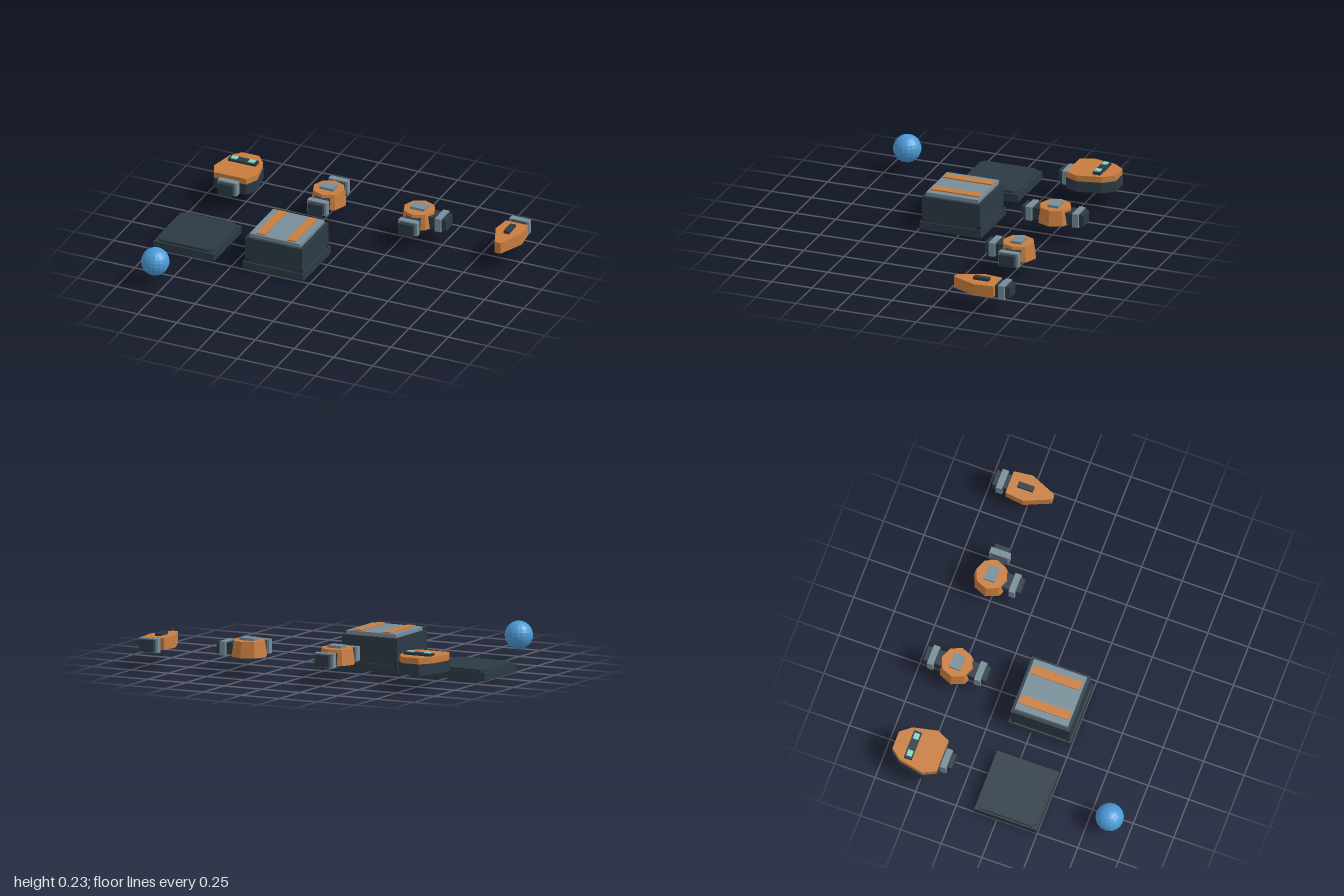
import * as THREE from 'three';

const mat = (name, color) => {
  const m = new THREE.MeshStandardMaterial({ color, flatShading: true });
  m.name = name;
  return m;
};

export function createModel() {
  const orange = mat('orange shell', 0xc87d3e);
  const dark = mat('dark slate', 0x2c3a45);
  const grey = mat('blue grey', 0x778d98);
  const blue = mat('ball blue', 0x4a9ad6);
  const teal = mat('eye teal', 0x7fd6c6);
  const black = mat('pin black', 0x1b242c);
  const model = new THREE.Group();

  const group = (name, x, z) => {
    const g = new THREE.Group();
    g.name = name;
    g.position.set(x, 0, z);
    model.add(g);
    return g;
  };
  const add = (parent, name, geo, material, x = 0, y = 0, z = 0) => {
    const m = new THREE.Mesh(geo, material);
    m.name = name;
    m.position.set(x, y, z);
    parent.add(m);
    return m;
  };
  // box given by its footprint centre and its bottom and top heights
  const box = (parent, name, material, w, d, y0, y1, x = 0, z = 0) =>
    add(parent, name, new THREE.BoxGeometry(w, y1 - y0, d), material, x, (y0 + y1) / 2, z);
  // upright prism from half an outline [x, z], mirrored across x
  const prism = (parent, name, material, half, y0, y1) => {
    const pts = [...half, ...half.map(([x, z]) => [-x, z]).reverse()];
    const shape = new THREE.Shape(pts.map(([x, z]) => new THREE.Vector2(x, -z)));
    const geo = new THREE.ExtrudeGeometry(shape, { depth: y1 - y0, bevelEnabled: false });
    geo.rotateX(-Math.PI / 2);
    return add(parent, name, geo, material, 0, y0, 0);
  };
  // plug with collar, pointing along +z and then turned about the part centre
  const connector = (parent, angle) => {
    const c = new THREE.Group();
    c.name = 'connector';
    c.rotation.y = angle;
    parent.add(c);
    box(c, 'plug', dark, 0.092, 0.132, 0.107, 0.177, 0, 0.126);
    box(c, 'collar', grey, 0.122, 0.038, 0.1, 0.184, 0, 0.145);
  };

  // ball
  const ball = group('ball', -0.81, 0.627);
  add(ball, 'sphere', new THREE.SphereGeometry(0.083, 16, 12), blue, 0, 0.149, 0);

  // flat pad with clipped corners on its upper layer
  const pad = group('pad', -0.808, 0.053);
  box(pad, 'padBase', dark, 0.384, 0.384, 0, 0.05);
  const e = 0.182, c = 0.155;
  prism(pad, 'padTop', dark, [[c, -e], [e, -c], [e, c], [c, e]], 0.05, 0.065);

  // charging box
  const crate = group('crate', -0.236, 0.053);
  box(crate, 'crateBase', dark, 0.384, 0.384, 0, 0.047);
  box(crate, 'crateBody', dark, 0.364, 0.364, 0.047, 0.203);
  box(crate, 'crateLid', grey, 0.326, 0.326, 0.203, 0.225);
  for (const s of [-1, 1]) {
    box(crate, 'lidStripe', orange, 0.054, 0.305, 0.225, 0.232, s * 0.097, 0);
    for (const t of [-1, 1]) {
      add(crate, 'cornerPin', new THREE.CylinderGeometry(0.016, 0.016, 0.02, 8), black, s * 0.169, 0.056, t * 0.169);
    }
  }

  // head
  const head = group('head', -0.81, -0.525);
  const outline = [[0.055, -0.171], [0.108, -0.105], [0.14, 0.045], [0.104, 0.122]];
  prism(head, 'headLower', dark, outline, 0.103, 0.168);
  prism(head, 'headShell', orange, outline.map(([x, z]) => [x * 0.98, z * 0.98]), 0.168, 0.204);
  box(head, 'visor', dark, 0.176, 0.048, 0.204, 0.219, 0, -0.062);
  for (const s of [-1, 1]) box(head, 'eye', teal, 0.038, 0.032, 0.219, 0.225, s * 0.055, -0.06);
  connector(head, 0);

  // octagonal joint segments
  const segment = (name, x, angles) => {
    const g = group(name, x, -0.525);
    add(g, 'segmentShell', new THREE.CylinderGeometry(0.094, 0.108, 0.094, 8), orange, 0, 0.149, 0);
    box(g, 'segmentPad', grey, 0.09, 0.066, 0.196, 0.211);
    angles.forEach((a) => connector(g, a));
  };
  segment('straightSegment', -0.237, [0, Math.PI]);
  segment('cornerSegment', 0.341, [0, Math.PI / 2]);

  // tail
  const tail = group('tail', 0.917, -0.525);
  prism(tail, 'tailShell', orange, [[0.07, -0.1], [0.083, 0.013], [0.018, 0.166]], 0.11, 0.18);
  box(tail, 'tailFin', dark, 0.034, 0.096, 0.18, 0.197);
  box(tail, 'tailSole', dark, 0.1, 0.135, 0.103, 0.11, 0, -0.025);
  connector(tail, Math.PI);

  return model;
}
